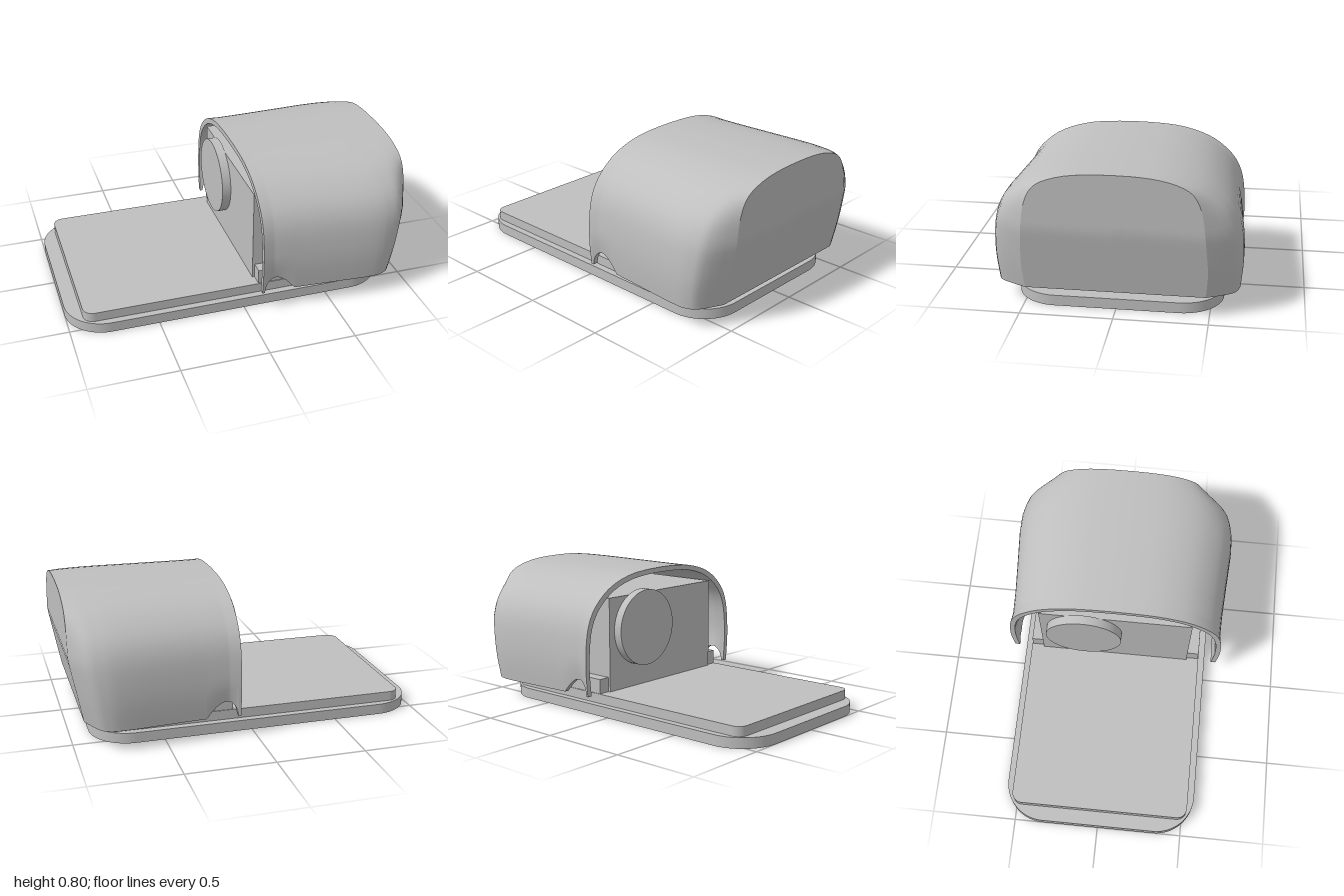
import * as THREE from 'three';

const BOTTOM = 0.12, TOP = 0.8, WALL = 0.03, RING = 24;
const lerp = THREE.MathUtils.lerp, smooth = THREE.MathUtils.smoothstep;

// Half cross-sections of the hood (z, y): along the body, and at the end wall
const spline = pts => new THREE.SplineCurve(pts.map(p => new THREE.Vector2(...p)));
const bodyHalf = spline([[0.655, 0.12], [0.668, 0.27], [0.662, 0.42], [0.64, 0.53], [0.59, 0.62],
  [0.5, 0.7], [0.4, 0.75], [0.27, 0.784], [0.13, 0.797], [0, 0.8]]);
const endHalf = spline([[0.49, 0.12], [0.5, 0.27], [0.49, 0.42], [0.48, 0.53], [0.465, 0.62],
  [0.43, 0.7], [0.37, 0.748], [0.26, 0.782], [0.13, 0.797], [0, 0.8]]);

// Hood width along x, as [x, width factor, blend towards the end section]
const widths = [[0.085, 0.965, 0], [0.15, 0.95, 0], [0.3, 0.957, 0], [0.5, 0.977, 0], [0.7, 0.998, 0],
  [0.8, 0.997, 0], [0.86, 0.985, 0.02], [0.9, 0.98, 0.08], [0.925, 0.98, 0.2], [0.95, 0.98, 0.42],
  [0.975, 0.98, 0.68], [1, 0.98, 1]];

function widthAt(x) {
  const i = Math.max(1, widths.findIndex(w => w[0] >= x - 1e-6));
  const [a, b] = [widths[i - 1], widths[i]];
  const t = (x - a[0]) / (b[0] - a[0]);
  return [lerp(a[1], b[1], t), lerp(a[2], b[2], t)];
}

// Arched notch in the lower edge near the opening
function notchHeight(x) {
  if (x <= 0.1 || x >= 0.28) return 0;
  const t = x < 0.165 ? (0.165 - x) / 0.065 : (x - 0.165) / 0.115;
  return 0.09 * (x < 0.165 ? Math.sqrt(1 - t * t) : Math.cos(t * Math.PI / 2));
}

// One ring of the hood, from the lower +z edge over the top to the lower -z edge
function hoodRing(x, inner, close = 1) {
  const [w, blend] = widthAt(x), ring = [];
  for (let j = -RING; j <= RING; j++) {
    const u = 1 - Math.abs(j) / RING;
    const a = bodyHalf.getPoint(u), b = endHalf.getPoint(u);
    let z = lerp(a.x, b.x, blend) * w * close, y = lerp(a.y, b.y, blend);
    const k = smooth(x, 0.7, 1);
    const lean = 0.07 * Math.min(0, (y - 0.48) / 0.36);
    let px = x + lean * k;
    if (inner) {
      z *= 1 - WALL / 0.65;
      y = BOTTOM + (y - BOTTOM) * (1 - WALL / (TOP - BOTTOM));
      px -= WALL * k;
    }
    y += notchHeight(x) * Math.max(0, 1 - (y - BOTTOM) / 0.25);
    ring.push([px, y, j <= 0 ? z : -z]);
  }
  return ring;
}

// Skin between successive rings of points
function loft(rings) {
  const n = rings[0].length, index = [];
  for (let i = 0; i < rings.length - 1; i++) {
    for (let j = 0; j < n - 1; j++) {
      const a = i * n + j, b = a + 1, c = a + n, d = c + 1;
      index.push(a, c, b, b, c, d);
    }
  }
  const geo = new THREE.BufferGeometry();
  geo.setAttribute('position', new THREE.Float32BufferAttribute(rings.flat(2), 3));
  geo.setIndex(index);
  geo.computeVertexNormals();
  return geo;
}

// Flat slab with rounded corners lying between two heights
function slab(x0, x1, halfZ, y0, y1, r) {
  const s = new THREE.Shape();
  s.moveTo(x0 + r, -halfZ);
  s.lineTo(x1 - r, -halfZ);
  s.absarc(x1 - r, -halfZ + r, r, -Math.PI / 2, 0);
  s.absarc(x1 - r, halfZ - r, r, 0, Math.PI / 2);
  s.absarc(x0 + r, halfZ - r, r, Math.PI / 2, Math.PI);
  s.absarc(x0 + r, -halfZ + r, r, Math.PI, Math.PI * 1.5);
  const geo = new THREE.ExtrudeGeometry(s, { depth: y1 - y0, bevelEnabled: false, curveSegments: 16 });
  return geo.rotateX(-Math.PI / 2).translate(0, y0, 0);
}

function box(x0, x1, y0, y1, z0, z1) {
  return new THREE.BoxGeometry(x1 - x0, y1 - y0, z1 - z0)
    .translate((x0 + x1) / 2, (y0 + y1) / 2, (z0 + z1) / 2);
}

export function createModel() {
  const model = new THREE.Group();
  const grey = new THREE.MeshStandardMaterial({ color: 0xbfbfbf });
  grey.name = 'plain grey';
  const greySheet = new THREE.MeshStandardMaterial({ color: 0xbfbfbf, side: THREE.DoubleSide });
  greySheet.name = 'plain grey sheet';
  const add = (name, geo, mat = grey, parent = model) => {
    const mesh = new THREE.Mesh(geo, mat);
    mesh.name = name;
    parent.add(mesh);
  };

  // Stepped base
  add('basePlate', slab(-1, 0.89, 0.565, 0, 0.06, 0.23), grey);
  add('upperPlate', slab(-0.915, 0.81, 0.525, 0.06, 0.115, 0.06), grey);

  // Inner block with its round disc and side rails
  add('innerBlock', box(0.087, 0.8, 0.115, 0.665, -0.45, 0.45));
  add('disc', new THREE.CylinderGeometry(0.225, 0.225, 0.054, 64)
    .rotateZ(Math.PI / 2).translate(0.062, 0.465, -0.185));
  for (const side of [-1, 1]) {
    add('sideRail', box(0.1, 0.8, 0.115, 0.2, side * 0.485 - 0.035, side * 0.485 + 0.035));
  }

  // Hood stations, finer around the notch
  const xs = [0.085, 0.1];
  for (let x = 0.103; x < 0.28; x += 0.008) xs.push(x);
  xs.push(0.28, 0.34, 0.4, 0.5, 0.6, 0.7, 0.76, 0.8, 0.83, 0.86, 0.88, 0.9, 0.925, 0.95, 0.975, 1);
  const skin = inner => xs.map(x => hoodRing(x, inner));
  const outer = skin(false), inner = skin(true);
  const outerMid = hoodRing(1, false, 0), innerMid = hoodRing(1, true, 0);
  const last = xs.length - 1;

  const hood = new THREE.Group();
  hood.name = 'hood';
  model.add(hood);
  add('hoodOuter', loft(outer), greySheet, hood);
  add('hoodEndWall', loft([outer[last], outerMid]), greySheet, hood);
  add('hoodInner', loft([innerMid, ...[...inner].reverse()]), greySheet, hood);
  add('hoodOpeningRim', loft([inner[0], outer[0]]), greySheet, hood);
  // Lower rim on each side, running round to the middle of the end wall
  for (const j of [0, 2 * RING]) {
    const edge = rings => rings.map(r => r[j]);
    add('hoodLowerRim', loft([edge([...inner, innerMid]), edge([...outer, outerMid])]), greySheet, hood);
  }
  return model;
}
